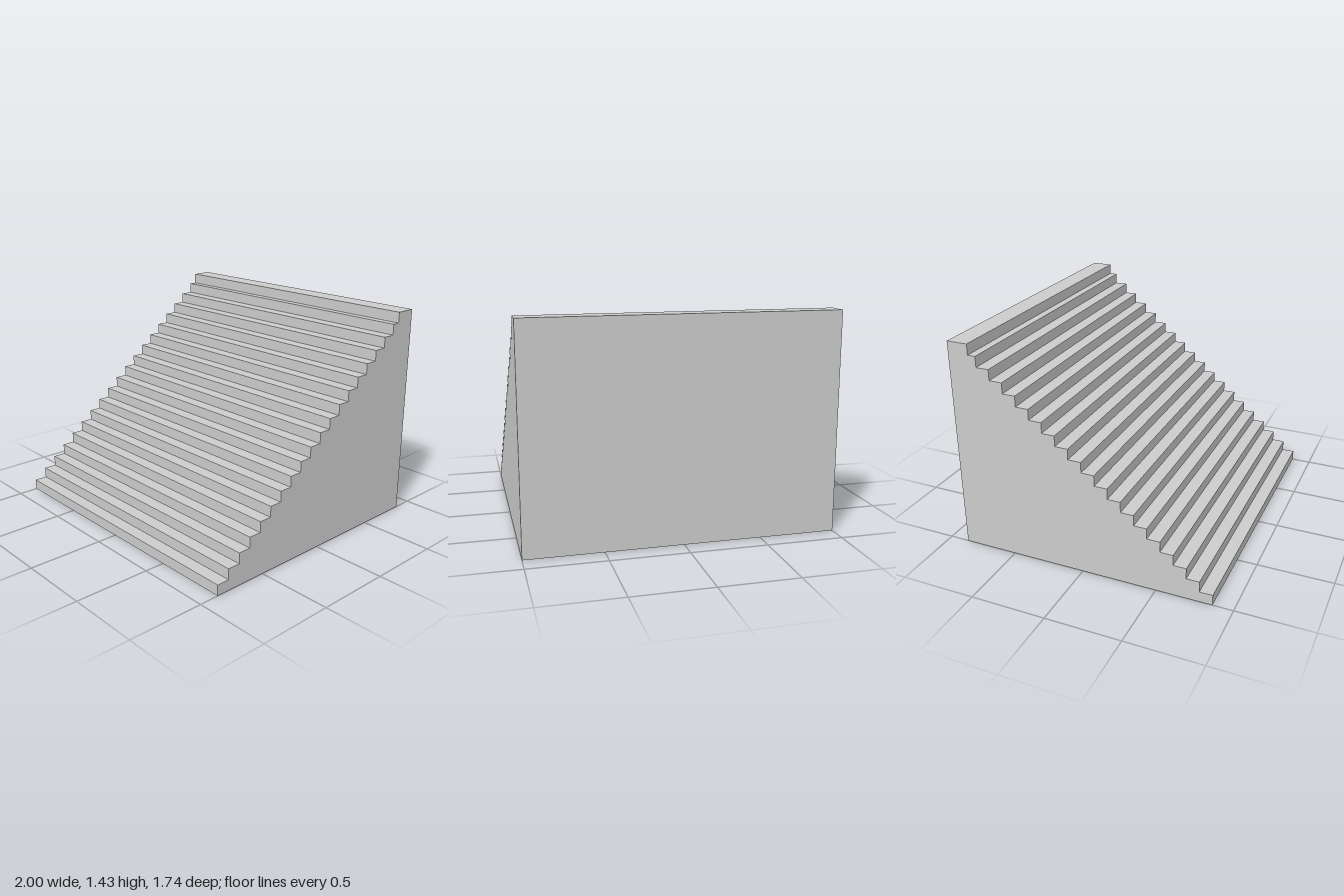
import * as THREE from 'three';

const STEPS = 20;
const WIDTH = 2;
const HEIGHT = 1.43;
const HALF_DEPTH = 0.868;
const TREAD = 0.0857;
const LANDING_FRONT = -0.727; // the top landing overhangs the regular spacing

export function createModel() {
  const group = new THREE.Group();
  group.name = 'staircase';

  // Side profile: shape x is the model's z, shape y is height
  const profile = new THREE.Shape();
  profile.moveTo(-HALF_DEPTH, 0);
  profile.lineTo(HALF_DEPTH, 0);
  const rise = HEIGHT / STEPS;
  for (let i = 0; i < STEPS; i++) {
    const z = i === STEPS - 1 ? LANDING_FRONT : HALF_DEPTH - i * TREAD;
    if (i > 0) profile.lineTo(z, i * rise);
    profile.lineTo(z, (i + 1) * rise);
  }
  profile.lineTo(-HALF_DEPTH, HEIGHT);
  profile.closePath();

  // Solid flight of steps across the full width
  const geometry = new THREE.ExtrudeGeometry(profile, { depth: WIDTH, bevelEnabled: false });
  geometry.translate(0, 0, -WIDTH / 2);
  geometry.rotateY(-Math.PI / 2);

  const steps = new THREE.Mesh(
    geometry,
    new THREE.MeshStandardMaterial({ color: 0xcccccc, flatShading: true })
  );
  steps.name = 'steps';
  group.add(steps);
  return group;
}
